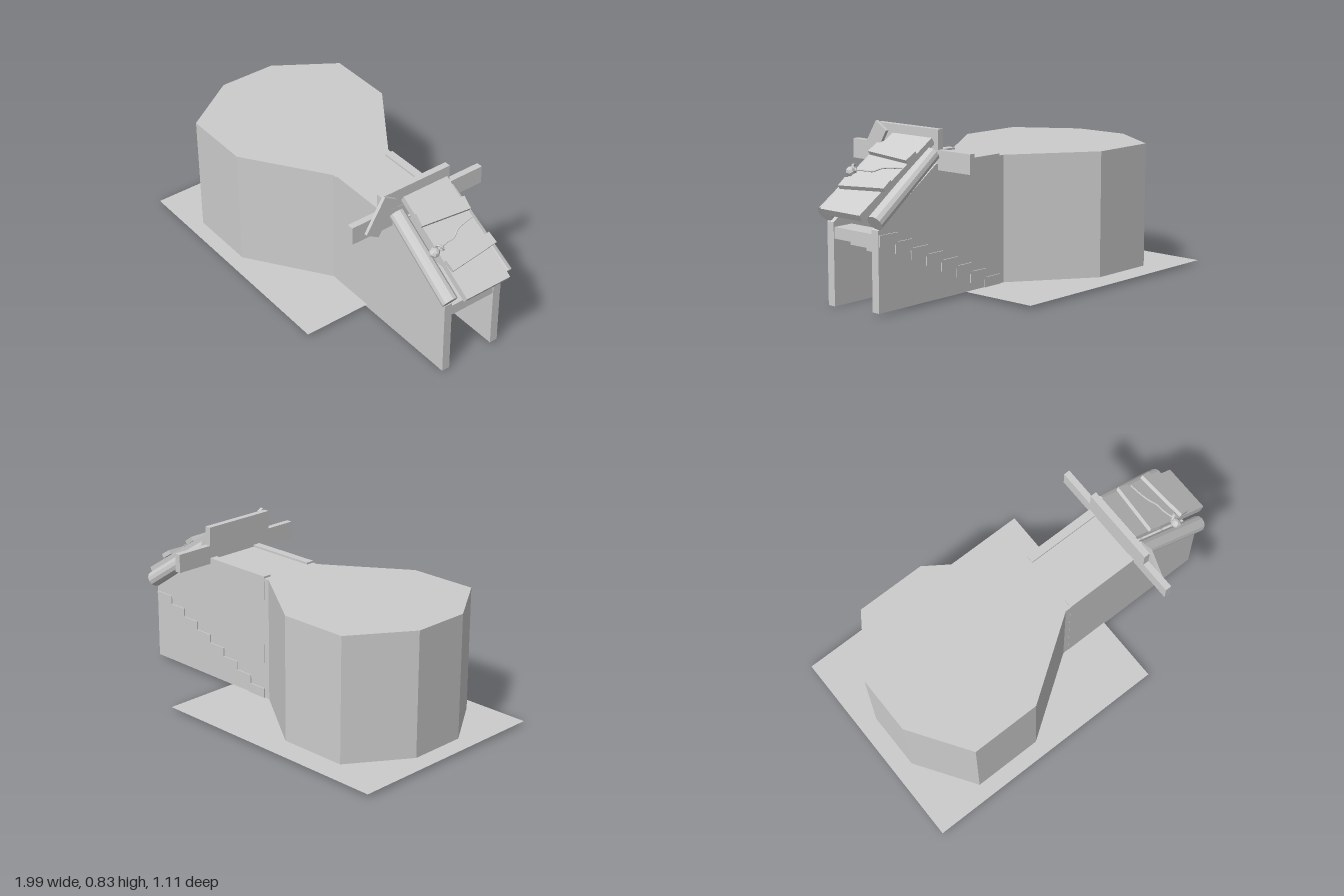
import * as THREE from 'three';

export function createModel() {
  const root = new THREE.Group();
  const grey = new THREE.MeshStandardMaterial({ color: 0xcccccc, flatShading: true, side: THREE.DoubleSide });

  function add(parent, name, geometry, x = 0, y = 0, z = 0) {
    const mesh = new THREE.Mesh(geometry, grey);
    mesh.name = name;
    mesh.position.set(x, y, z);
    parent.add(mesh);
    return mesh;
  }
  const box = (w, h, d) => new THREE.BoxGeometry(w, h, d);

  // Ground sheet
  add(root, 'groundSheet', new THREE.PlaneGeometry(1.33, 1.11).rotateX(-Math.PI / 2), -0.335, 0.016, -0.005);

  // Underground room: outline in x, z, open at the stair end
  const outline = [
    [0.53, -0.149], [0.06, -0.149], [-0.345, -0.43], [-0.705, -0.43], [-0.905, -0.13],
    [-0.905, 0.17], [-0.705, 0.47], [-0.345, 0.47], [0.06, 0.189], [0.53, 0.189],
  ];
  const positions = [];
  for (let i = 0; i < outline.length - 1; i++) {
    const [ax, az] = outline[i], [bx, bz] = outline[i + 1];
    const a = [ax, 0.016, az], b = [bx, 0.016, bz], c = [bx, 0.65, bz], d = [ax, 0.65, az];
    positions.push(...a, ...c, ...b, ...a, ...d, ...c);
  }
  const walls = new THREE.BufferGeometry();
  walls.setAttribute('position', new THREE.Float32BufferAttribute(positions, 3));
  walls.computeVertexNormals();
  add(root, 'roomWalls', walls);
  const ceiling = new THREE.Shape(outline.map(([x, z]) => new THREE.Vector2(x, -z)));
  add(root, 'roomCeiling', new THREE.ShapeGeometry(ceiling).rotateX(-Math.PI / 2), 0, 0.65, 0);

  // Stair side walls with sloping tops
  function stairWall(name, bottom, z) {
    const shape = new THREE.Shape([
      [0.09, bottom], [0.905, bottom], [0.905, 0.4], [0.53, 0.66], [0.09, 0.66],
    ].map(([x, y]) => new THREE.Vector2(x, y)));
    add(root, name, new THREE.ExtrudeGeometry(shape, { depth: 0.043, bevelEnabled: false }), 0, 0, z);
  }
  stairWall('leftStairWall', 0, 0.147);
  stairWall('rightStairWall', 0.015, -0.15);

  // Steps leading down into the room
  for (let i = 0; i < 8; i++) {
    add(root, 'step', box(0.11, 0.055, 0.325), 0.845 - i * 0.1, 0.35 - i * 0.0445, 0.0065);
  }

  // Round logs along the sloping wall tops
  function log(name, from, to) {
    const a = new THREE.Vector3(...from), b = new THREE.Vector3(...to);
    const mesh = add(root, name, new THREE.CylinderGeometry(0.041, 0.038, a.distanceTo(b), 12));
    mesh.position.copy(a).add(b).multiplyScalar(0.5);
    mesh.quaternion.setFromUnitVectors(new THREE.Vector3(0, 1, 0), b.sub(a).normalize());
  }
  log('leftLog', [0.53, 0.706, 0.177], [0.927, 0.438, 0.18]);
  log('rightLog', [0.53, 0.706, -0.127], [0.927, 0.438, -0.152]);

  // Sloping hatch: local x runs down the slope, y = 0 is its top face
  const hatch = new THREE.Group();
  hatch.name = 'hatch';
  hatch.position.set(0.53, 0.78, 0);
  hatch.rotation.z = -0.576;
  root.add(hatch);
  add(hatch, 'hatchPanel', box(0.554, 0.036, 0.26), 0.277, -0.018, 0.007);
  add(hatch, 'upperCrossBoard', box(0.067, 0.022, 0.275), 0.145, 0.011, 0.008).rotation.y = -0.09;
  add(hatch, 'lowerCrossBoard', box(0.06, 0.022, 0.28), 0.37, 0.011, -0.005).rotation.y = 0.1;

  // Cord and fastening on the hatch
  const cord = new THREE.CatmullRomCurve3([
    [0.226, 0.005, -0.122], [0.236, 0.006, -0.06], [0.25, 0.008, -0.01],
    [0.277, 0.006, 0.03], [0.28, 0.008, 0.07], [0.295, 0.015, 0.135],
  ].map((p) => new THREE.Vector3(...p)));
  add(hatch, 'cord', new THREE.TubeGeometry(cord, 20, 0.004, 5));
  const lock = add(hatch, 'lockBody', new THREE.SphereGeometry(0.026, 7, 5), 0.296, 0.004, 0.157);
  lock.scale.set(1, 0.9, 1.1);
  add(hatch, 'lockLoop', new THREE.TorusGeometry(0.018, 0.006, 5, 10), 0.29, 0.022, 0.13).rotation.y = 0.6;

  // Boards across the head of the hatch
  add(root, 'longHeadBoard', box(0.033, 0.095, 0.775), 0.5, 0.677, 0.0355);
  add(root, 'upperHeadBoard', box(0.033, 0.1, 0.405), 0.499, 0.77, 0.0525);
  add(root, 'leaningBoard', box(0.018, 0.2, 0.082), 0.524, 0.722, 0.266).rotation.x = -0.555 + Math.PI;

  return root;
}
